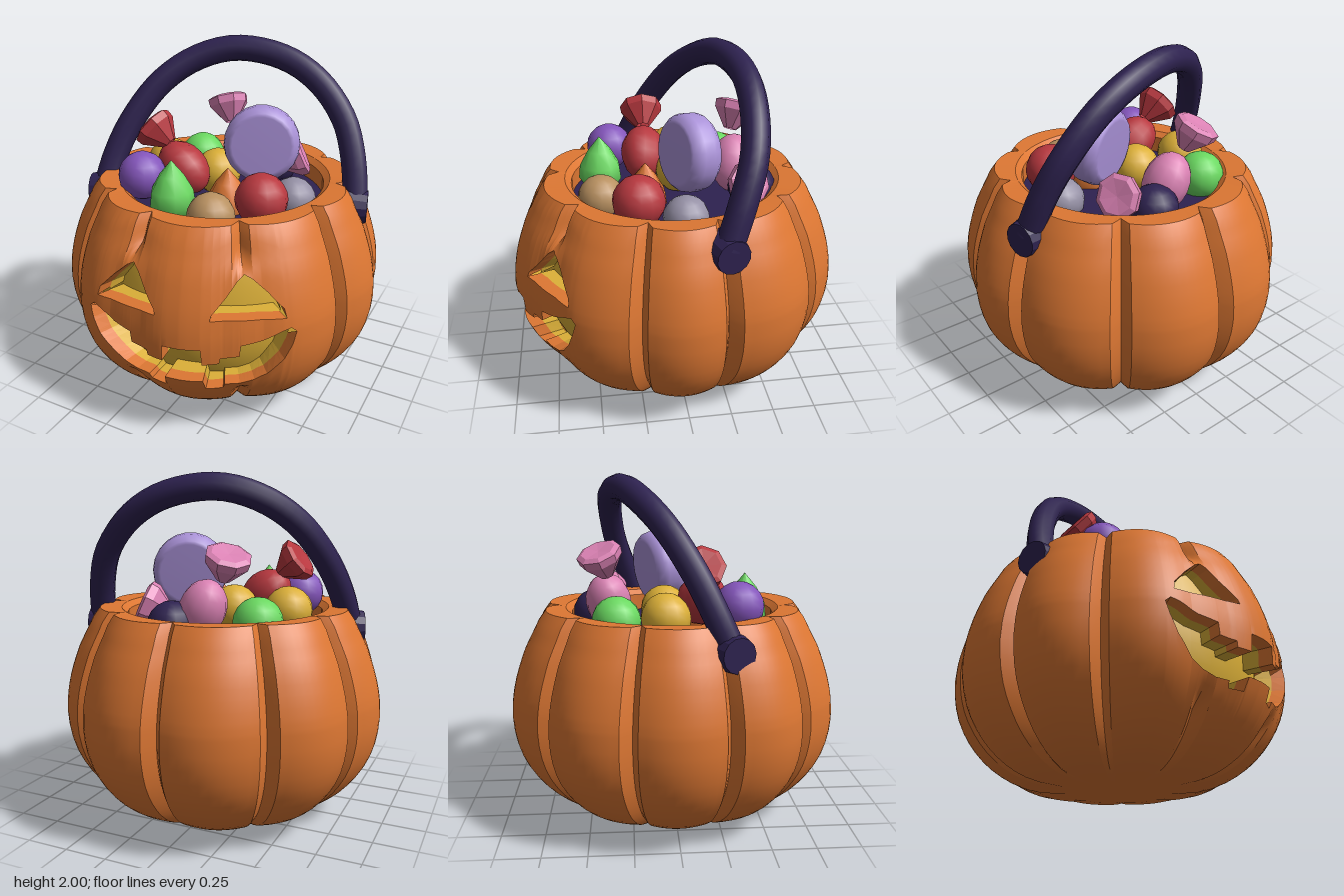
import * as THREE from 'three';
import { mergeGeometries, mergeVertices } from 'three/addons/utils/BufferGeometryUtils.js';

const V = (x, y, z) => new THREE.Vector3(x, y, z);
const UP = V(0, 1, 0);
const clamp = (v) => THREE.MathUtils.clamp(v, 0, 1);
const points = (list) => list.map(([x, y]) => new THREE.Vector2(x, y));

const material = (name, color, side = THREE.FrontSide) => {
  const m = new THREE.MeshStandardMaterial({ color, side });
  m.name = name;
  return m;
};

// Piecewise linear lookup in a list of [x, y] pairs
function lookup(list, x) {
  if (x <= list[0][0]) return list[0][1];
  for (let i = 1; i < list.length; i++) {
    const [x0, y0] = list[i - 1], [x1, y1] = list[i];
    if (x <= x1) return y0 + (y1 - y0) * (x - x0) / (x1 - x0);
  }
  return list[list.length - 1][1];
}

// Surface of nu x nv cells whose corners come from point(i, j)
function grid(nu, nv, point) {
  const pos = [], index = [];
  for (let i = 0; i <= nu; i++) for (let j = 0; j <= nv; j++) pos.push(...point(i, j).toArray());
  for (let i = 0; i < nu; i++) for (let j = 0; j < nv; j++) {
    const a = i * (nv + 1) + j, b = a + nv + 1;
    index.push(a, b, b + 1, a, b + 1, a + 1);
  }
  const g = new THREE.BufferGeometry();
  g.setAttribute('position', new THREE.Float32BufferAttribute(pos, 3));
  g.setIndex(index);
  return g;
}
const smooth = (parts) => {
  const g = mergeVertices(mergeGeometries(parts));
  g.computeVertexNormals();
  return g;
};
const faceted = (g) => {
  const flat = g.toNonIndexed();
  flat.computeVertexNormals();
  return flat;
};

// Pumpkin profile: radius at a height; the pumpkin is slightly longer in z
const TOP = 1.235, DEPTH = 1.03;
const profile = new THREE.SplineCurve(points([
  [0, 0], [0.3, 0.008], [0.52, 0.035], [0.68, 0.11], [0.81, 0.23], [0.91, 0.4], [0.95, 0.6],
  [0.932, 0.8], [0.87, 1.0], [0.82, 1.1], [0.775, 1.19], [0.74, TOP],
])).getPoints(100).map((p) => [p.y, p.x]);
const radiusAt = (y) => lookup(profile, y);

// Groove bearings in degrees, measured from the front towards the model's left
const GROOVES = [-42, -8, 34, 72, 103, 142, 180, 219, 253, 287, 318];
const FLANK = 0.09; // share of a lobe taken by the steep side of a groove

// Carved face: heights against degrees away from its centre line
const FACE = 14;
const MOUTH_LOW = [[0, 0.42], [6.5, 0.42], [7.2, 0.35], [13.2, 0.35], [13.7, 0.385], [19, 0.387],
  [24, 0.41], [28, 0.45], [33, 0.55], [35.5, 0.64], [36.8, 0.71]];
const MOUTH_HIGH = [[0, 0.64], [6.2, 0.64], [6.5, 0.545], [12, 0.548], [12.3, 0.58], [18.5, 0.59],
  [18.9, 0.655], [26, 0.675], [32, 0.72], [35, 0.735], [36.8, 0.71]];
const EYE_LOW = [[9, 0.8], [33.6, 0.79]];
const EYE_HIGH = [[9, 0.8], [9.5, 0.83], [14, 0.91], [18, 0.99], [20.5, 1.02], [23, 1.0],
  [28, 0.93], [33, 0.84], [33.6, 0.79]];
const BREAKS = [MOUTH_LOW, MOUTH_HIGH, EYE_LOW, EYE_HIGH].flat()
  .flatMap(([d]) => [FACE - d, FACE + d]);
const carved = (list) => (bearing) => lookup(list, Math.abs(bearing - FACE));
const [mouthLow, mouthHigh, eyeLow, eyeHigh] = [MOUTH_LOW, MOUTH_HIGH, EYE_LOW, EYE_HIGH].map(carved);

// Outer radius between two grooves; the grooves fade out around the carved face
function lobeRadius(b, y, g0, g1) {
  const t = clamp((b - g0) / (g1 - g0));
  const ribbed = 0.885 + 0.06 * Math.min(1, Math.min(t, 1 - t) / FLANK) + 0.055 * Math.sin(Math.PI * t);
  const fade = clamp((41 - Math.abs(b - FACE)) / 4) * clamp((y - 0.26) / 0.1) * clamp((1.1 - y) / 0.09);
  return radiusAt(y) * THREE.MathUtils.lerp(ribbed, Math.max(ribbed, 0.972), fade);
}

const at = (bearing, r, y) => {
  const a = THREE.MathUtils.degToRad(bearing);
  return V(r * Math.sin(a), y, DEPTH * r * Math.cos(a));
};

export function createModel() {
  const model = new THREE.Group();
  const orange = material('pumpkin orange', 0xdd7733, THREE.DoubleSide);
  const dark = material('dark purple', 0x2e2250);
  const yellow = material('golden yellow', 0xdcb038, THREE.DoubleSide);
  const red = material('candy red', 0xb8383f, THREE.DoubleSide);
  const lavender = material('lavender', 0xaa92d8);
  const pink = material('candy pink', 0xdb82b4, THREE.DoubleSide);
  const green = material('candy green', 0x6ad860);
  const violet = material('violet', 0x8455bb);
  const tan = material('caramel', 0xb89060);
  const grey = material('grey', 0x9590a5);

  const add = (name, geometry, mat, parent = model) => {
    const mesh = new THREE.Mesh(geometry, mat);
    mesh.name = name;
    parent.add(mesh);
    return mesh;
  };

  // One panel of a lobe from bearing b0 to b1, with its part of the rim and openings
  const pumpkin = new THREE.Group();
  pumpkin.name = 'pumpkin';
  model.add(pumpkin);
  const addPanel = (g0, g1, b0, b1, steps) => {
    const cols = BREAKS.filter((b) => b > b0 && b < b1);
    for (let i = 0; i <= steps; i++) cols.push(b0 + (b1 - b0) * i / steps);
    cols.sort((a, b) => a - b);
    const bearings = cols.filter((b, i) => i === 0 || b - cols[i - 1] > 0.01);
    const n = bearings.length - 1;
    const surface = (b, y) => lobeRadius(b, y, g0, g1);
    const band = (rows, low, high, power = 1) => grid(n, rows, (i, j) => {
      const b = bearings[i], y0 = low(b), y1 = high(b);
      const y = y0 + (y1 - y0) * Math.pow(j / rows, power);
      return at(b, surface(b, y), y);
    });
    add('lobe', smooth([
      band(16, () => 0, mouthLow, 2),
      band(3, mouthHigh, eyeLow),
      band(8, eyeHigh, () => TOP),
    ]), orange, pumpkin);

    // Rim folding over into the opening
    const rim = [[0.615, 1.23], [0.58, 1.2], [0.58, 1.06]];
    add('rim', faceted(grid(n, 3, (i, j) => j === 0
      ? at(bearings[i], surface(bearings[i], TOP), TOP)
      : at(bearings[i], ...rim[j - 1]))), orange, pumpkin);

    // Thickness of the carved openings: orange outside, yellow within
    if (b1 < FACE - 37 || b0 > FACE + 37) return;
    const wall = (outer, inner) => faceted(mergeGeometries(
      [[mouthLow, mouthHigh], [eyeLow, eyeHigh]].flatMap(([low, high]) => [low, high].map((edge) =>
        grid(n, 1, (i, j) => {
          const b = bearings[i], y = edge(b), open = high(b) - low(b) > 1e-6;
          return at(b, (j && open ? inner : outer)(b, y), y);
        })))));
    const middle = (b, y) => surface(b, y) - 0.075;
    add('carvedEdge', wall(surface, middle), orange, pumpkin);
    add('carvedInside', wall(middle, (b, y) => radiusAt(y) * 0.82), yellow, pumpkin);
  };
  for (let k = 0; k < GROOVES.length - 1; k++) {
    const g0 = GROOVES[k], g1 = GROOVES[k + 1], side = (g1 - g0) * FLANK;
    addPanel(g0, g1, g0, g0 + side, 2);
    addPanel(g0, g1, g0 + side, g1 - side, 10);
    addPanel(g0, g1, g1 - side, g1, 2);
  }

  // Yellow lining behind the face, and the dark floor under the sweets
  const lining = [];
  for (let y = 0.2; y < 1.12; y += 0.1) lining.push(new THREE.Vector2(radiusAt(y) * 0.82, y));
  add('lining', new THREE.LatheGeometry(lining, 40), yellow).scale.z = DEPTH;
  add('basketFloor', new THREE.CylinderGeometry(0.6, 0.6, 0.03, 32), dark).position.y = 1.085;

  // Handle arching backwards, with a knob at each end
  const path = new THREE.CatmullRomCurve3([
    V(-0.7, 1.1, 0.27), V(-0.67, 1.3, 0.18), V(-0.605, 1.5, 0.08), V(-0.475, 1.72, -0.06),
    V(-0.3, 1.86, -0.19), V(-0.08, 1.923, -0.29), V(0.2, 1.88, -0.36), V(0.42, 1.76, -0.37),
    V(0.6, 1.56, -0.34), V(0.695, 1.35, -0.27), V(0.75, 1.12, -0.19),
  ]);
  add('handle', new THREE.TubeGeometry(path, 40, 0.076, 10), dark);
  for (const [x, y, z] of [[-0.71, 1.1, 0.27], [0.75, 1.1, -0.19]]) {
    const knob = add('handleKnob', faceted(new THREE.CylinderGeometry(0.095, 0.117, 0.14, 14)), dark);
    knob.position.set(x, y, z);
    knob.quaternion.setFromUnitVectors(UP, V(x, 0, z).normalize());
  }

  // Round sweets
  for (const [mat, x, y, z, r] of [
    [red, 0.34, 1.22, 0.23, 0.15], [tan, 0.13, 1.155, 0.43, 0.135], [violet, -0.36, 1.28, 0.35, 0.14],
    [yellow, -0.08, 1.22, -0.05, 0.14], [yellow, -0.42, 1.23, -0.06, 0.14], [grey, 0.43, 1.145, -0.02, 0.13],
    [green, -0.34, 1.2, -0.33, 0.14], [dark, 0.12, 1.17, -0.46, 0.14],
  ]) add('roundSweet', new THREE.SphereGeometry(r, 14, 10), mat).position.set(x, y, z);

  // Pointed drops
  const drop = points([[0, -0.12], [0.08, -0.1], [0.13, -0.02], [0.12, 0.06], [0.07, 0.15], [0, 0.235]]);
  for (const [mat, x, y, z] of [[green, -0.12, 1.2, 0.42], [orange, 0.1, 1.11, 0.17]]) {
    add('pointedSweet', new THREE.LatheGeometry(drop, 9), mat).position.set(x, y, z);
  }

  // Large flat round sweet standing on edge
  const disc = points([[0, -0.095], [0.17, -0.095], [0.19, -0.09], [0.215, -0.06], [0.222, -0.03],
    [0.222, 0.03], [0.215, 0.06], [0.19, 0.09], [0.17, 0.095], [0, 0.095]]);
  const roundel = add('discSweet', new THREE.LatheGeometry(disc, 22), lavender);
  roundel.position.set(0.2, 1.435, -0.07);
  roundel.quaternion.setFromUnitVectors(UP, V(0.38, 0.1, 0.92).normalize());

  // Wrapped sweets: an oval body and flared wrapper ends
  const flare = points([[0.04, -0.1], [0.125, 0.01], [0.13, 0.055], [0.1, 0.07], [0, 0.06]]);
  const wrapped = (mat, body, axis, ends) => {
    const oval = add('wrappedSweet', new THREE.SphereGeometry(0.135, 12, 10), mat);
    oval.position.copy(body);
    oval.scale.y = 1.3;
    oval.quaternion.setFromUnitVectors(UP, axis.clone().normalize());
    for (const [place, dir] of ends) {
      const end = add('wrapperEnd', faceted(new THREE.LatheGeometry(flare, 8)), mat);
      end.position.copy(place);
      end.quaternion.setFromUnitVectors(UP, dir.normalize());
    }
  };
  wrapped(red, V(-0.2, 1.29, 0.15), V(-0.8, 0.6, -0.1), [[V(-0.375, 1.48, 0.14), V(-0.8, 0.6, 0)]]);
  wrapped(pink, V(-0.03, 1.26, -0.38), V(-0.4, 0.9, -0.1), [
    [V(-0.19, 1.52, -0.41), V(-0.35, 0.88, -0.3)],
    [V(0.28, 1.26, -0.38), V(0.8, 0.4, -0.35)],
  ]);
  return model;
}
